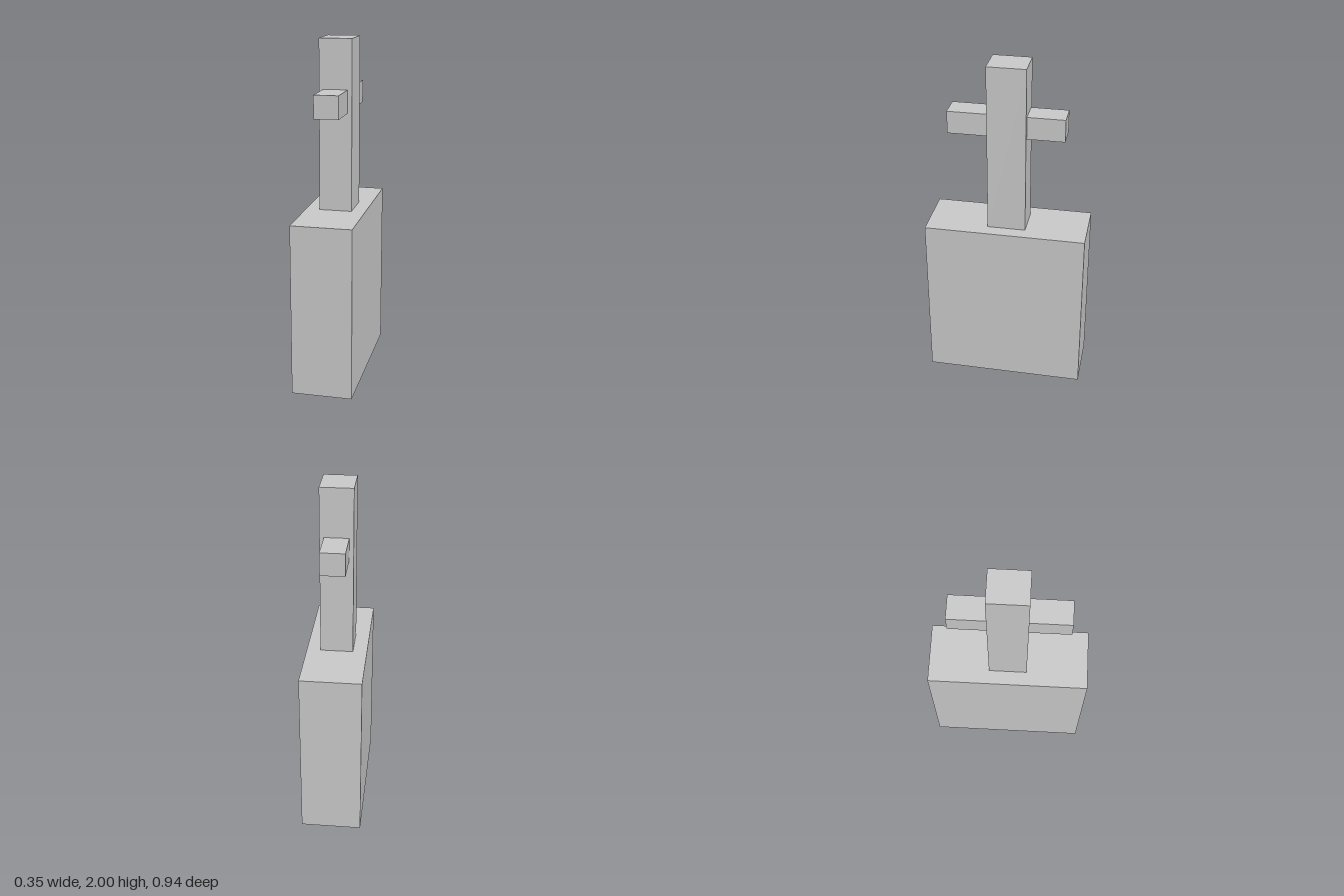
import * as THREE from 'three';

const material = new THREE.MeshStandardMaterial({ color: 0xcccccc, flatShading: true });

// Box given by its lower and upper corners
function block(name, min, max) {
  const size = max.map((v, i) => v - min[i]);
  const mesh = new THREE.Mesh(new THREE.BoxGeometry(...size), material);
  mesh.position.set(...max.map((v, i) => (v + min[i]) / 2));
  mesh.name = name;
  return mesh;
}

export function createModel() {
  const group = new THREE.Group();
  group.name = 'crossMonument';

  // Tall block pedestal
  group.add(block('pedestal', [-0.177, 0, -0.47], [0.175, 1.01, 0.47]));
  // Upright of the cross
  group.add(block('upright', [-0.095, 1.01, -0.112], [0.095, 2, 0.11]));
  // Arms on either side of the upright, the front one slightly longer
  group.add(block('frontArm', [-0.07, 1.583, 0.11], [0.07, 1.715, 0.34]));
  group.add(block('backArm', [-0.07, 1.583, -0.327], [0.07, 1.715, -0.112]));

  return group;
}
